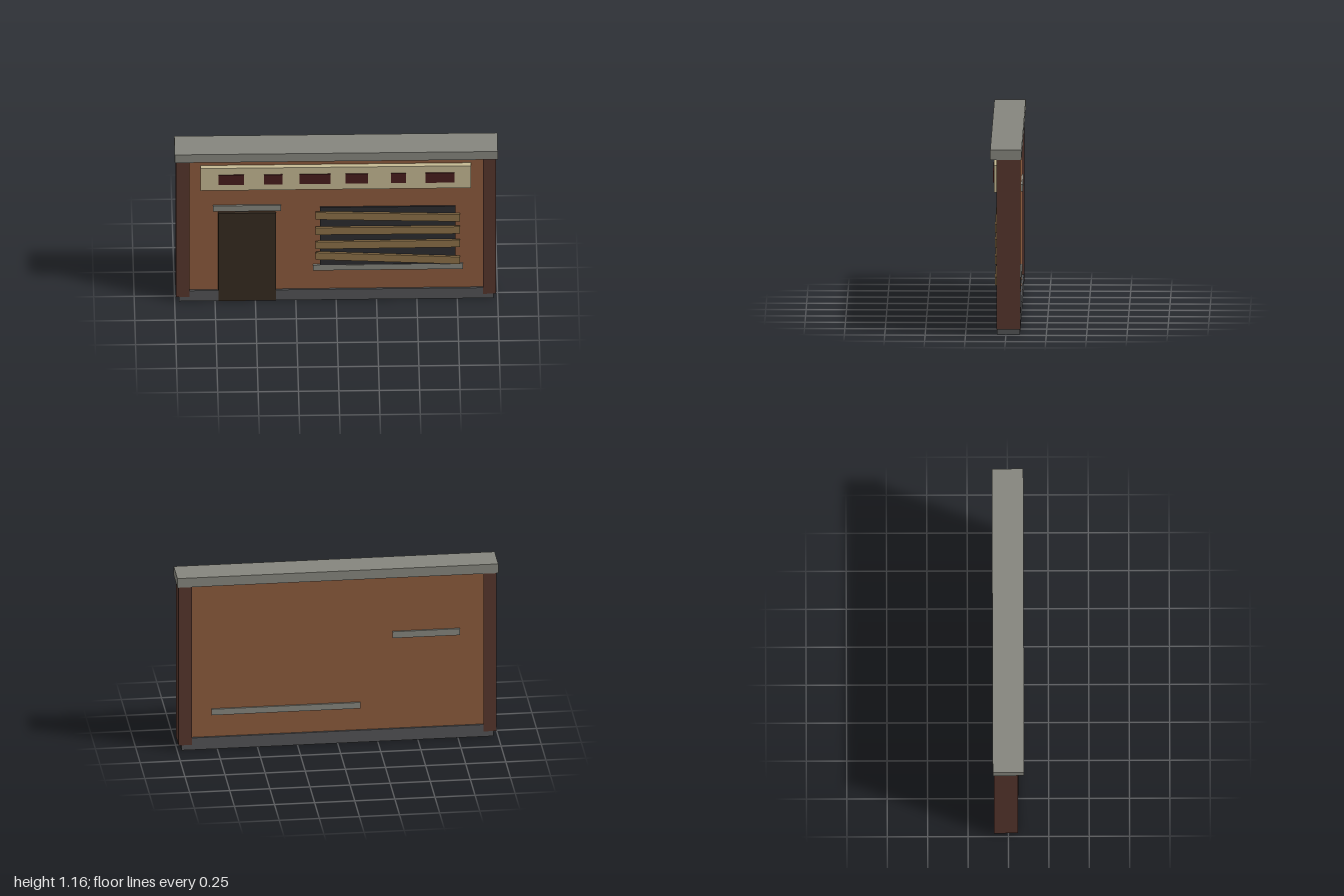
import * as THREE from 'three';

const paint = (color) => new THREE.MeshStandardMaterial({ color, flatShading: true });
const brick = paint(0x8b5a3c), darkBrick = paint(0x55352c), concrete = paint(0x85857d);
const base = paint(0x525355), timber = paint(0x8b7048), doorWood = paint(0x352a20);
const glass = paint(0x2c2c2f), cream = paint(0xc4b892), maroon = paint(0x481c1c);

export function createModel() {
  const model = new THREE.Group();

  // Adds a box given by its limits on each axis
  function box(name, material, [x0, x1], [y0, y1], [z0, z1], tilt = 0) {
    const mesh = new THREE.Mesh(new THREE.BoxGeometry(x1 - x0, y1 - y0, z1 - z0), material);
    mesh.position.set((x0 + x1) / 2, (y0 + y1) / 2, (z0 + z1) / 2);
    mesh.rotation.z = tilt;
    mesh.name = name;
    model.add(mesh);
  }

  // Wall, plinth, corner pillars and coping
  box('wall', brick, [-0.973, 0.973], [0.04, 1.12], [-0.076, 0.045]);
  box('plinth', base, [-0.973, 0.973], [0, 0.08], [-0.087, 0.056]);
  for (const s of [-1, 1]) {
    box('pillar', darkBrick, [s * 0.95 - 0.041, s * 0.95 + 0.041], [0.035, 1.11], [-0.09, 0.059]);
  }
  box('coping', concrete, [-1, 1], [1.1, 1.162], [-0.097, 0.097]);

  // Door and its lintel, which runs through the wall
  box('door', doorWood, [-0.73, -0.374], [0.003, 0.679], [0.03, 0.062]);
  box('lintel', concrete, [-0.762, -0.342], [0.69, 0.733], [-0.087, 0.056]);

  // Window, through-wall sill and nailed boards
  box('window', glass, [-0.099, 0.74], [0.267, 0.711], [0.03, 0.054]);
  box('windowSill', concrete, [-0.144, 0.786], [0.227, 0.267], [-0.087, 0.056]);
  const boards = [[0.644, -0.03], [0.538, -0.003], [0.431, 0.004], [0.325, -0.051]];
  for (const [y, tilt] of boards) {
    box('board', timber, [-0.128, 0.767], [y - 0.027, y + 0.027], [0.056, 0.07], tilt);
  }

  // Sign board with plain raised blocks
  box('signBoard', cream, [-0.84, 0.834], [0.868, 1.039], [0.04, 0.077]);
  const blocks = [[-0.73, -0.57], [-0.447, -0.334], [-0.227, -0.035],
    [0.056, 0.198], [0.34, 0.433], [0.553, 0.733]];
  for (const span of blocks) box('signBlock', maroon, span, [0.915, 0.989], [0.07, 0.083]);

  return model;
}
